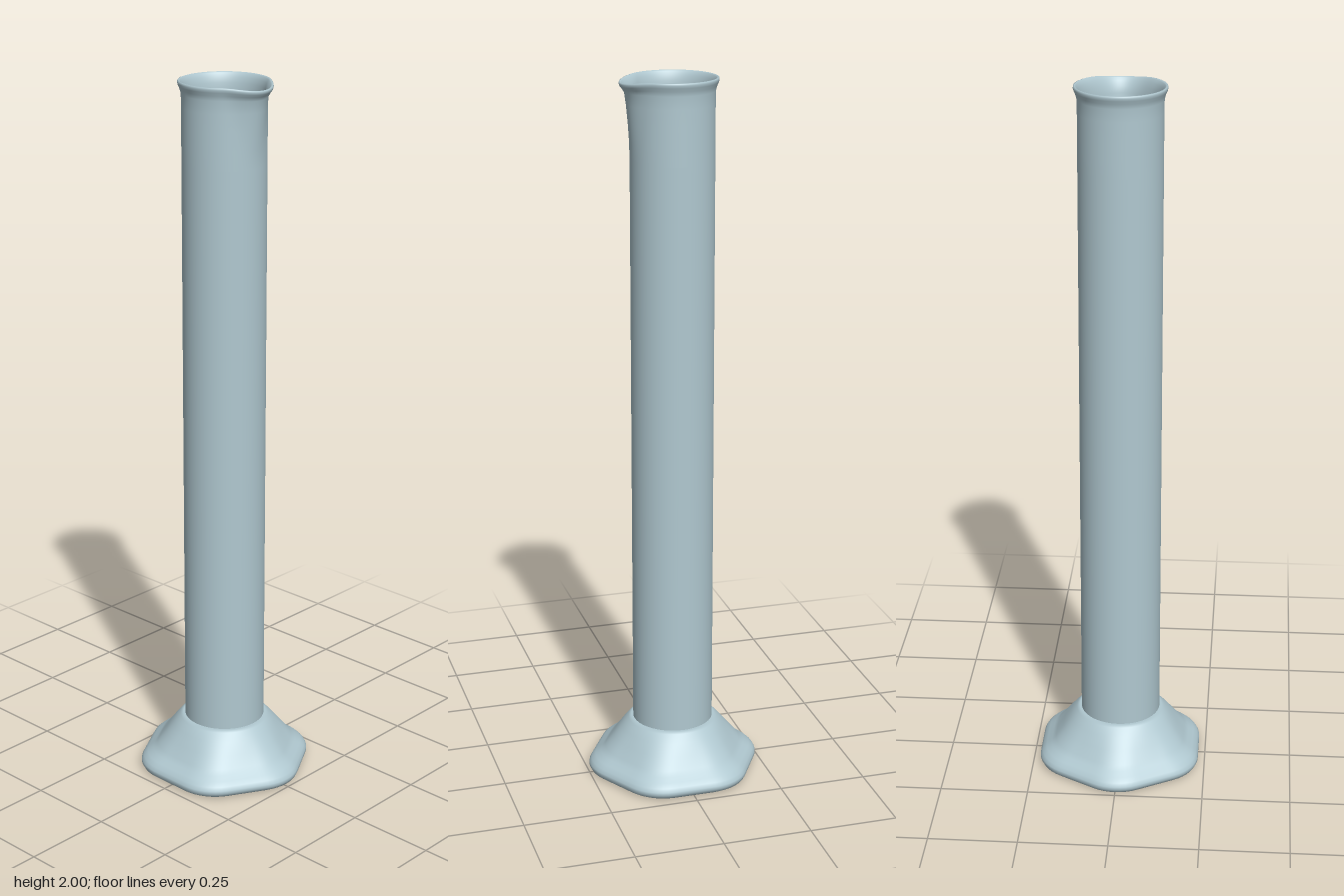
import * as THREE from 'three';

const SEGMENTS = 96;

// Joins closed rings into one smooth surface; point(row, angle) gives [radius, y].
function loft(rows, point, material, name) {
  const positions = [], indices = [];
  rows.forEach((row, i) => {
    for (let j = 0; j < SEGMENTS; j++) {
      const angle = (j / SEGMENTS) * Math.PI * 2;
      const [r, y] = point(row, angle);
      positions.push(r * Math.cos(angle), y, r * Math.sin(angle));
      if (i === rows.length - 1) continue;
      const a = i * SEGMENTS + j, b = i * SEGMENTS + ((j + 1) % SEGMENTS);
      const c = a + SEGMENTS, d = b + SEGMENTS;
      indices.push(a, c, b, b, c, d);
    }
  });
  const geometry = new THREE.BufferGeometry();
  geometry.setAttribute('position', new THREE.Float32BufferAttribute(positions, 3));
  geometry.setIndex(indices);
  geometry.computeVertexNormals();
  const mesh = new THREE.Mesh(geometry, material);
  mesh.name = name;
  return mesh;
}

// Outline of a hexagon with rounded corners, relative to its corner radius.
function hexRadius(angle) {
  const apothem = 0.231, fillet = 0.1275, corner = 0.1195;
  const sixth = Math.PI / 3;
  const phi = Math.abs(angle - Math.round(angle / sixth) * sixth);
  const fromFlat = Math.PI / 6 - phi;
  const r = apothem * Math.tan(fromFlat) < corner / 2
    ? apothem / Math.cos(fromFlat)
    : corner * Math.cos(phi) + Math.sqrt(fillet ** 2 - (corner * Math.sin(phi)) ** 2);
  return r / 0.247;
}

// Smooth bump around +x, from 1 at the spout's middle to 0 at its edges.
function spoutShape(angle, halfWidth) {
  const a = Math.abs(Math.atan2(Math.sin(angle), Math.cos(angle))) / halfWidth;
  return a < 1 ? Math.cos(a * Math.PI / 2) ** 2 : 0;
}

export function createModel() {
  const group = new THREE.Group();
  group.name = 'measuringCylinder';
  const glass = new THREE.MeshStandardMaterial({ color: 0xb0c8d0, side: THREE.DoubleSide });

  // Foot: rounded hexagon blending into a circle; rows are [radius, y, hexagon share]
  const footRows = [
    [0, 0, 1], [0.232, 0, 1], [0.232, 0, 1], [0.242, 0.006, 1], [0.247, 0.016, 1],
    [0.246, 0.024, 1], [0.24, 0.034, 1], [0.228, 0.045, 1], [0.212, 0.055, 0.95],
    [0.198, 0.068, 0.85], [0.172, 0.099, 0.55], [0.148, 0.128, 0.25],
    [0.128, 0.15, 0], [0.119, 0.155, 0], [0, 0.155, 0],
  ];
  group.add(loft(footRows, ([r, y, hex], angle) =>
    [r * (1 + hex * (hexRadius(angle) - 1)), y], glass, 'foot'));

  // Tube: outer wall up, over the flared lip, inner wall down;
  // rows are [radius, y, spout reach, spout half width in degrees]
  const tubeRows = [
    [0.114, 0.15, 0, 30], [0.114, 1.78, 0, 30], [0.114, 1.83, 0.002, 28],
    [0.114, 1.88, 0.006, 32], [0.114, 1.93, 0.011, 38], [0.1145, 1.965, 0.015, 46],
    [0.118, 1.978, 0.018, 50], [0.122, 1.987, 0.02, 52], [0.124, 1.994, 0.02, 52],
    [0.123, 1.999, 0.02, 52], [0.12, 2, 0.02, 52], [0.116, 1.997, 0.02, 52],
    [0.111, 1.987, 0.02, 50], [0.107, 1.972, 0.017, 46], [0.105, 1.95, 0.014, 42],
    [0.105, 1.9, 0.008, 34], [0.105, 1.84, 0.002, 28], [0.105, 1.79, 0, 30],
    [0.105, 0.15, 0, 30],
  ];
  group.add(loft(tubeRows, ([r, y, reach, width], angle) => {
    const s = spoutShape(angle, THREE.MathUtils.degToRad(width));
    const dip = y > 1.95 ? 0.01 * s * (y - 1.95) / 0.05 : 0;
    return [r + reach * s, y - dip];
  }, glass, 'tubeWithSpout'));

  return group;
}
